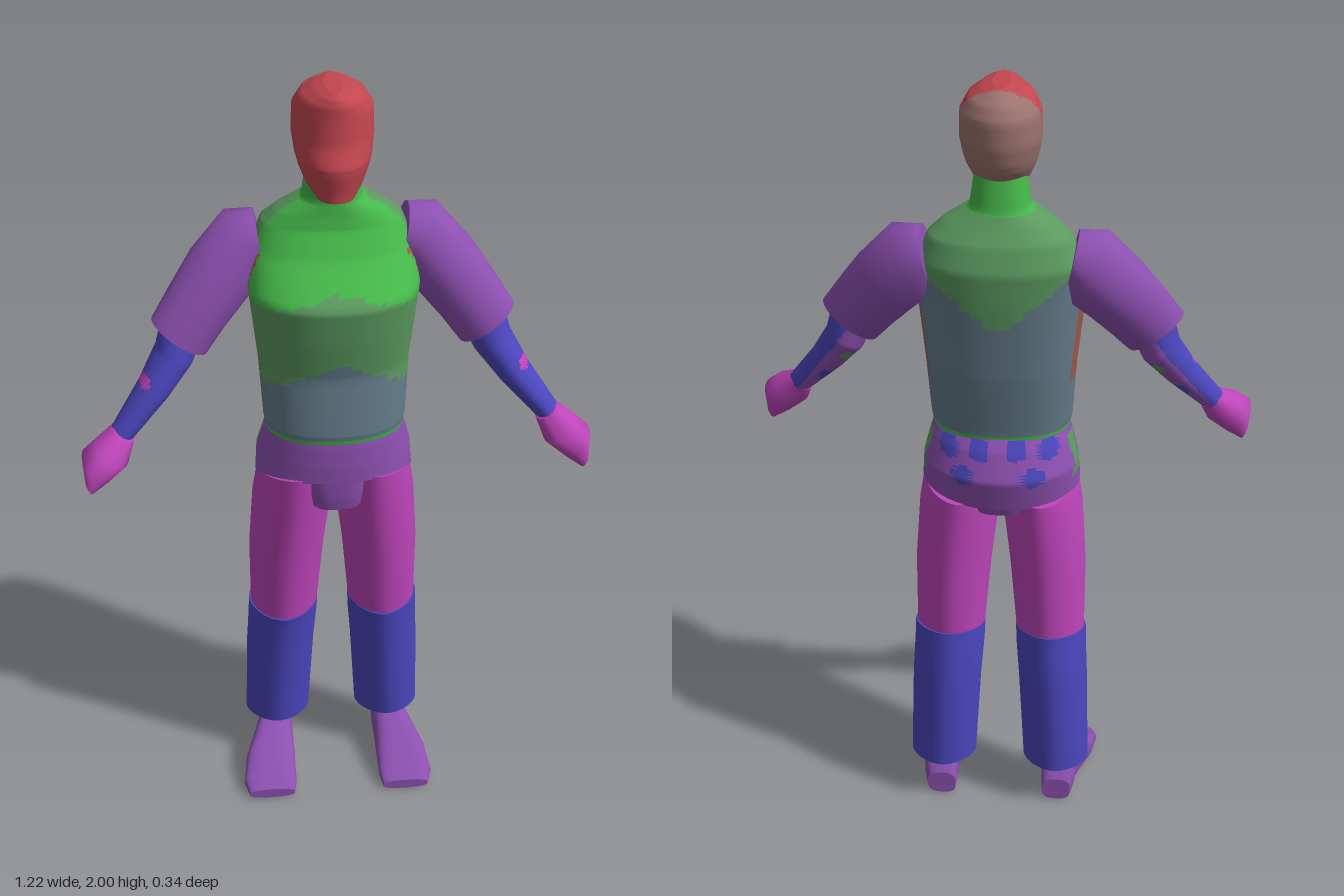
import * as THREE from 'three';

const COLORS = {
  faceRed: 0xc2464f, hairTaupe: 0x9c736f, brightGreen: 0x45b84a, mutedGreen: 0x5b9a5f, slate: 0x647c8a,
  purple: 0x8c50b0, magenta: 0xbd45b9, blue: 0x4b46bd, brown: 0x9c5a4a, darkRed: 0x962a2a,
};
const SEGMENTS = 48;

// Horizontal ring: height, centre x, half width, front z, back z, rise of the front edge
const level = (y, x, hw, zf, zb, tilt = 0) => ({ c: [x, y, (zf + zb) / 2], u: [hw, 0, 0], v: [0, tilt, (zf - zb) / 2] });
// Limb ring: outer and inner edge in the x-y plane, front z, back z
const limb = (x1, y1, x2, y2, zf, zb) => ({
  c: [(x1 + x2) / 2, (y1 + y2) / 2, (zf + zb) / 2],
  u: [(x1 - x2) / 2, (y1 - y2) / 2, 0], v: [0, 0, (zf - zb) / 2],
});
// Upright ring: z, inner x, outer x, bottom y, top y
const upright = (z, x1, x2, y1, y2) => ({
  c: [(x1 + x2) / 2, (y1 + y2) / 2, z], u: [(x2 - x1) / 2, 0, 0], v: [0, (y2 - y1) / 2, 0],
});

export function createModel() {
  const model = new THREE.Group();
  model.name = 'figure';
  const mats = {};
  for (const [name, color] of Object.entries(COLORS)) {
    mats[name] = new THREE.MeshStandardMaterial({ color });
    mats[name].name = name;
  }

  // Skin a row of rings; colour is a name or a rule (x, y, z) => name
  function loft(name, rings, colour, { side = 1, power = 2, steps = 1 } = {}) {
    const pos = [], tris = [];
    const mix = (a, b, t) => a.map((p, i) => p + (b[i] - p) * t);
    const rows = [];
    rings.forEach((r, i) => {
      const next = rings[i + 1];
      for (let k = 0; k < (next ? steps : 1); k++) {
        const t = k / steps;
        rows.push(next ? { c: mix(r.c, next.c, t), u: mix(r.u, next.u, t), v: mix(r.v, next.v, t) } : r);
      }
    });
    const addRing = ({ c, u, v }) => {
      const start = pos.length / 3;
      for (let j = 0; j < SEGMENTS; j++) {
        const a = (j / SEGMENTS) * Math.PI * 2;
        const bend = (w) => Math.sign(w) * Math.pow(Math.abs(w), 2 / power);
        const p = bend(Math.cos(a)), q = bend(Math.sin(a));
        pos.push(side * (c[0] + u[0] * p + v[0] * q), c[1] + u[1] * p + v[1] * q, c[2] + u[2] * p + v[2] * q);
      }
      return start;
    };
    const starts = rows.map(addRing);
    for (let i = 0; i < rows.length - 1; i++) {
      for (let j = 0; j < SEGMENTS; j++) {
        const k = (j + 1) % SEGMENTS;
        const a = starts[i] + j, b = starts[i] + k, c = starts[i + 1] + j, d = starts[i + 1] + k;
        tris.push([a, b, c], [b, d, c]);
      }
    }
    // End caps
    [rows[0], rows[rows.length - 1]].forEach((row, end) => {
      const s = addRing(row), m = pos.length / 3;
      pos.push(side * row.c[0], row.c[1], row.c[2]);
      for (let j = 0; j < SEGMENTS; j++) {
        const k = (j + 1) % SEGMENTS;
        tris.push(end ? [s + j, s + k, m] : [s + k, s + j, m]);
      }
    });
    // Turn all faces outward by the sign of the enclosed volume
    const at = (i) => new THREE.Vector3().fromArray(pos, i * 3);
    const volume = tris.reduce((sum, [a, b, c]) => sum + at(a).dot(at(b).cross(at(c))), 0);
    if (volume < 0) tris.forEach((t) => t.reverse());
    // Sort faces into colour groups
    const buckets = {};
    for (const t of tris) {
      const m = at(t[0]).add(at(t[1])).add(at(t[2])).divideScalar(3);
      const key = typeof colour === 'string' ? colour : colour(m.x, m.y, m.z);
      (buckets[key] ??= []).push(...t);
    }
    const geo = new THREE.BufferGeometry();
    geo.setAttribute('position', new THREE.Float32BufferAttribute(pos, 3));
    geo.setIndex(Object.values(buckets).flat());
    let start = 0;
    Object.values(buckets).forEach((b, i) => {
      geo.addGroup(start, b.length, i);
      start += b.length;
    });
    geo.computeVertexNormals();
    const mesh = new THREE.Mesh(geo, Object.keys(buckets).map((k) => mats[k]));
    mesh.name = name;
    model.add(mesh);
  }

  // Head, darker at the back
  const headColour = (x, y, z) => {
    if (y < 1.783 && z < 0.02) return 'purple';
    return z < -0.025 - Math.max(0, y - 1.88) * 0.45 ? 'hairTaupe' : 'faceRed';
  };
  loft('head', [
    level(1.757, 0, 0.042, 0.08, 0.0), level(1.785, 0, 0.066, 0.084, -0.085), level(1.82, 0, 0.08, 0.092, -0.118),
    level(1.842, 0, 0.086, 0.094, -0.13), level(1.885, 0, 0.092, 0.075, -0.141), level(1.945, 0, 0.09, 0.07, -0.142),
    level(1.975, 0, 0.073, 0.07, -0.125), level(1.992, 0, 0.045, 0.064, -0.1), level(2.0, 0, 0.02, 0.05, -0.075),
  ], headColour, { steps: 4 });

  // Neck and torso
  const torsoColour = (x, y, z) => {
    const ax = Math.abs(x);
    if (y < 1.155 || y > 1.72) return 'brightGreen';
    if (ax > 0.14 && Math.abs(z + 0.03) < 0.038 && y > 1.29 && y < 1.6) return 'brown';
    if (z > -0.03) {
      if (y > 1.55 - ax * 0.25) return 'brightGreen';
      return y > 1.365 - ax * 0.5 ? 'mutedGreen' : 'slate';
    }
    return y > 1.45 + ax * 0.8 ? 'mutedGreen' : 'slate';
  };
  loft('torso', [
    level(1.145, 0, 0.168, 0.124, -0.119), level(1.17, 0, 0.172, 0.128, -0.122), level(1.32, 0, 0.18, 0.116, -0.145),
    level(1.42, 0, 0.19, 0.135, -0.155), level(1.52, 0, 0.2, 0.15, -0.165), level(1.6, 0, 0.19, 0.06, -0.17),
    level(1.66, 0, 0.165, 0.025, -0.15), level(1.69, 0, 0.13, 0.02, -0.13), level(1.725, 0, 0.07, 0.018, -0.11),
    level(1.81, 0, 0.058, 0.02, -0.095),
  ], torsoColour, { power: 2.25, steps: 7 });

  // Hips with blotches at the back and sides
  const spots = [[0.045, 1.125], [0.12, 1.12], [0.085, 1.06]];
  const hipColour = (x, y, z) => {
    const ax = Math.abs(x);
    if (z < -0.06 && spots.some(([sx, sy]) => Math.hypot(ax - sx, y - sy) < 0.025)) return 'blue';
    if (ax > 0.14 && Math.abs(z + 0.04 + (1.08 - y) * 0.2) < 0.022 && y > 1.03 && y < 1.13) return 'mutedGreen';
    return 'purple';
  };
  loft('hips', [
    level(1.165, 0, 0.158, 0.11, -0.108), level(1.12, 0, 0.174, 0.115, -0.14), level(1.06, 0, 0.19, 0.117, -0.167, 0.01),
    level(0.995, 0, 0.195, 0.116, -0.148, 0.03),
  ], hipColour, { power: 2.05, steps: 10 });
  loft('crotch', [level(1.03, 0, 0.09, 0.112, -0.14), level(0.975, 0, 0.083, 0.109, -0.14), level(0.935, 0, 0.073, 0.102, -0.125)],
    (x, y) => (y < 0.938 ? 'darkRed' : 'purple'), { power: 3, steps: 3 });

  for (const side of [1, -1]) {
    const s = side > 0 ? 'left' : 'right';

    // Arm: sleeve, forearm and fist
    loft(s + 'UpperArm', [
      limb(0.18, 1.675, 0.155, 1.55, -0.005, -0.14), limb(0.248, 1.675, 0.165, 1.5, 0.01, -0.15),
      limb(0.328, 1.587, 0.2, 1.465, 0.03, -0.13), limb(0.375, 1.52, 0.255, 1.405, 0.045, -0.095),
      limb(0.425, 1.445, 0.3, 1.35, 0.06, -0.06),
    ], 'purple', { side, power: 1.9 });
    const forearmColour = (x, y, z) => {
      const ax = Math.abs(x);
      if (Math.hypot(ax - 0.45, y - 1.305) < 0.013 && z > 0.02) return 'magenta';
      // Inner back face
      const across = (ax - 0.36) * 0.83 + (y - 1.4) * 0.56;
      if (across > 0 || z > (1.4 - y) * 0.36) return 'blue';
      if (Math.hypot(ax - 0.37, y - 1.31) < 0.015) return 'mutedGreen';
      return Math.hypot(ax - 0.43, y - 1.235) < 0.02 ? 'blue' : 'purple';
    };
    loft(s + 'Forearm', [
      limb(0.405, 1.43, 0.315, 1.37, 0.04, -0.055), limb(0.42, 1.375, 0.335, 1.325, 0.055, -0.055),
      limb(0.465, 1.295, 0.395, 1.255, 0.08, -0.02), limb(0.535, 1.195, 0.49, 1.16, 0.105, 0.035),
    ], forearmColour, { side, power: 1.9, steps: 9 });
    loft(s + 'Hand', [
      limb(0.529, 1.2, 0.482, 1.165, 0.108, 0.034), limb(0.575, 1.172, 0.5, 1.12, 0.155, 0.045),
      limb(0.608, 1.145, 0.545, 1.085, 0.168, 0.05), limb(0.605, 1.1, 0.585, 1.058, 0.165, 0.07),
    ], 'magenta', { side, power: 2.4 });

    // Leg: thigh, shin and shoe
    loft(s + 'Thigh', [
      level(1.0, 0.099, 0.092, 0.106, -0.14, 0.03), level(0.92, 0.104, 0.1, 0.094, -0.14),
      level(0.75, 0.12, 0.096, 0.068, -0.136), level(0.53, 0.13, 0.087, 0.04, -0.13),
    ], 'magenta', { side, power: 1.8 });
    loft(s + 'Shin', [
      level(0.552, 0.131, 0.091, 0.046, -0.136, -0.014), level(0.5, 0.133, 0.091, 0.039, -0.142),
      level(0.4, 0.14, 0.09, 0.028, -0.155), level(0.135, 0.152, 0.087, 0.0, -0.153),
    ], 'blue', { side, power: 1.75 });
    loft(s + 'Shoe', [
      upright(-0.115, 0.118, 0.195, 0.0, 0.07), upright(-0.085, 0.115, 0.205, 0, 0.115),
      upright(-0.055, 0.114, 0.208, 0, 0.135), upright(-0.02, 0.114, 0.22, 0, 0.125),
      upright(0.05, 0.114, 0.248, 0, 0.088), upright(0.12, 0.115, 0.258, 0, 0.05),
      upright(0.157, 0.122, 0.245, 0, 0.03),
    ], (x, y, z) => {
      const ax = Math.abs(x);
      const innerSide = ax < 0.13 && y < 0.05 && z < 0.08;
      return innerSide || (y < 0.003 && ax < 0.18) ? 'magenta' : 'purple';
    }, { side, power: 2.8, steps: 2 });
  }
  return model;
}
